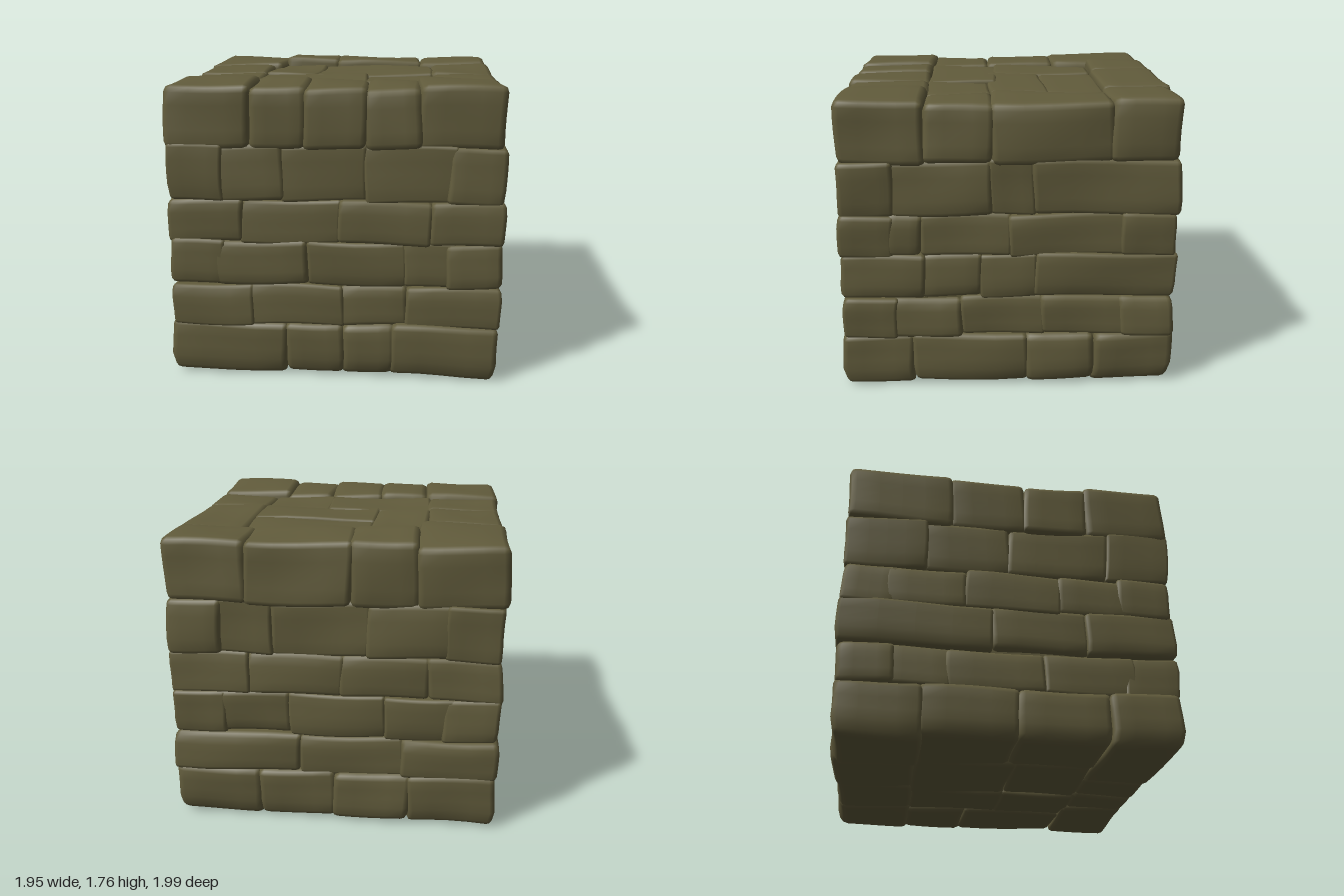
import * as THREE from 'three';
import { mergeVertices } from 'three/addons/utils/BufferGeometryUtils.js';

const stone = new THREE.MeshStandardMaterial({ color: 0x625c3c });
stone.name = 'mossy stone';

const X = 0.966, Z = 0.982; // half extents of the block
const DEPTH = 0.3;          // depth of the wall stones

function seeded(seed) {
  let s = seed;
  return () => {
    s = (s * 16807) % 2147483647;
    return s / 2147483647;
  };
}

// Sideways wear by height: two worn joints and a drawn-in foot
function wear(y) {
  const joint = (at, width) => Math.exp(-(((y - at) / width) ** 2));
  return 1 - 0.014 * joint(0.562, 0.03) - 0.008 * joint(1.065, 0.03)
    - 0.3 * Math.max(0, 0.1 - y);
}

// A worn stone: softened box edges, slightly uneven and tilted faces
function stoneGeometry(min, max, radius, rand) {
  const n = 6;
  const g = new THREE.BoxGeometry(2, 2, 2, n, n, n);
  g.deleteAttribute('normal');
  g.deleteAttribute('uv');
  const geo = mergeVertices(g);
  const half = max.clone().sub(min).multiplyScalar(0.5);
  const mid = max.clone().add(min).multiplyScalar(0.5);
  const inner = half.clone().subScalar(radius);
  const innerMin = inner.clone().negate();
  const phase = rand() * 6.28;
  const p = geo.attributes.position;
  const v = new THREE.Vector3(), core = new THREE.Vector3();
  for (let i = 0; i < p.count; i++) {
    v.fromBufferAttribute(p, i);
    for (const a of ['x', 'y', 'z']) {
      const c = v[a];
      v[a] = Math.abs(c) > 0.99 ? Math.sign(c) * half[a] : c * 1.5 * inner[a];
    }
    core.copy(v).clamp(innerMin, inner);
    v.sub(core).normalize().multiplyScalar(radius).add(core).add(mid);
    const { x, y, z } = v;
    const w = wear(y);
    v.x = x * w + 0.009 * Math.sin(8 * y + 5 * z + phase);
    v.y += 0.009 * Math.sin(6 * x - 5 * z + phase * 2);
    v.z = z * w + 0.009 * Math.sin(5 * x + 8 * y + phase * 3);
    p.setXYZ(i, v.x, v.y, v.z);
  }
  geo.computeVertexNormals();
  return geo;
}

export function createModel() {
  const model = new THREE.Group();
  model.name = 'stoneBlock';
  const rand = seeded(4711);

  function addStone(parent, name, x0, x1, y0, y1, z0, z1, radius) {
    const o = 0.009; // neighbours overlap so the joints stay shallow
    const geo = stoneGeometry(
      new THREE.Vector3(x0 - o, y0, z0 - o),
      new THREE.Vector3(x1 + o, y1, z1 + o),
      radius, rand);
    const mesh = new THREE.Mesh(geo, stone);
    mesh.name = name;
    parent.add(mesh);
  }

  // Inner core behind the joints
  const core = new THREE.Mesh(new THREE.BoxGeometry(1.8, 1.56, 1.82), stone);
  core.name = 'core';
  core.position.y = 0.86;
  model.add(core);

  // Slab layers: x0, x1, z0, z1, extra height; inner slabs lie lower
  const topSlabs = [
    [-X, -0.47, -Z, -0.35, 0], [-0.47, -0.1, -Z, -0.58, 0.024],
    [-0.1, 0.49, -Z, -0.58, 0.008], [0.49, X, -Z, -0.58, 0.004],
    [-X, -0.51, -0.35, 0.1, -0.012], [-X, -0.51, 0.1, 0.48, -0.022],
    [-0.51, -0.18, -0.58, 0.06, -0.024], [-0.18, 0.56, -0.58, -0.23, -0.03],
    [-0.18, 0.56, -0.23, 0.1, -0.022], [-0.51, 0.15, 0.06, 0.48, -0.026],
    [0.15, 0.56, 0.1, 0.48, -0.03], [0.56, X, -0.58, 0.1, -0.012],
    [0.56, X, 0.1, 0.48, -0.025], [-X, -0.48, 0.48, Z, 0],
    [-0.48, -0.17, 0.48, Z, -0.006], [-0.17, 0.17, 0.48, Z, -0.016],
    [0.17, 0.48, 0.48, Z, -0.02], [0.48, X, 0.48, Z, 0.003],
  ];
  const bottomSlabs = [
    [-X, -0.29, 0.57, Z, 0], [-0.29, 0.04, 0.57, Z, -0.012],
    [0.04, 0.34, 0.57, Z, -0.005], [0.34, X, 0.57, Z, 0],
    [-X, -0.5, 0.05, 0.57, -0.012], [-0.5, 0.1, 0.1, 0.57, -0.026],
    [0.1, 0.52, 0.1, 0.57, -0.02], [0.52, X, -0.1, 0.57, -0.012],
    [-X, -0.5, -0.5, 0.05, -0.016], [-0.5, 0.1, -0.5, 0.1, -0.02],
    [0.1, 0.52, -0.5, 0.1, -0.026], [0.52, X, -0.5, -0.1, -0.01],
    [-X, -0.45, -Z, -0.5, 0], [-0.45, 0, -Z, -0.5, -0.012],
    [0, 0.45, -Z, -0.5, -0.006], [0.45, X, -Z, -0.5, 0],
  ];
  const top = new THREE.Group();
  top.name = 'topStones';
  const bottom = new THREE.Group();
  bottom.name = 'bottomStones';
  model.add(top, bottom);
  // Only the outer sides of a slab are shifted inwards
  const jut = (v, limit) =>
    Math.abs(v) === limit ? v - Math.sign(v) * (0.004 + rand() * 0.022) : v;
  // Slabs along the rim are rounder than those inside
  const rounding = (x0, x1, z0, z1) => rand() * 0.012 +
    (x0 === -X || x1 === X || z0 === -Z || z1 === Z ? 0.032 : 0.02);
  for (const [x0, x1, z0, z1, h] of topSlabs)
    addStone(top, 'topStone', jut(x0, X), jut(x1, X), 1.365, 1.728 + h,
      jut(z0, Z), jut(z1, Z), rounding(x0, x1, z0, z1));
  for (const [x0, x1, z0, z1, h] of bottomSlabs)
    addStone(bottom, 'bottomStone', jut(x0, X), jut(x1, X), 0.012 - h, 0.335,
      jut(z0, Z), jut(z1, Z), rounding(x0, x1, z0, z1));

  // Wall courses: front and back joints along x, right and left joints along z
  const courses = [
    { y: [0.315, 0.562], inset: 0.014, long: true,
      front: [-0.49, 0.04, 0.42], back: [-0.4, 0.2], right: [0.28, -0.2], left: [0.2, -0.35] },
    { y: [0.562, 0.832], inset: 0.012, long: false,
      front: [-0.16, 0.4], back: [-0.3, 0.25], right: [0.5, 0.16, -0.16], left: [0.45, -0.1] },
    { y: [0.815, 1.07], inset: 0.012, long: true,
      front: [-0.53, 0.03, 0.55], back: [-0.55, -0.05, 0.5], right: [0.51, 0], left: [0.3, -0.25] },
    { y: [1.06, 1.39], inset: 0.014, long: false,
      front: [-0.3, 0.18], back: [-0.2, 0.35], right: [0.67, 0.1, -0.14], left: [0.6, 0, -0.5] },
  ];
  courses.forEach(({ y, inset, long, front, back, right, left }, k) => {
    const course = new THREE.Group();
    course.name = `wallCourse${k + 1}`;
    model.add(course);
    const spans = (cuts, end) => {
      const s = [-end, ...cuts, end].sort((a, b) => a - b);
      return s.slice(1).map((b, i) => [s[i], b]);
    };
    // Corner stones alternate between the walls and stand out a little
    const xEnd = long ? X - inset : X - 0.27;
    const zEnd = long ? Z - 0.27 : Z - inset;
    const recess = (a, b, end, corners) => inset + rand() * 0.014 +
      (corners && (a === -end || b === end) ? 0 : 0.012);
    const radius = () => 0.02 + rand() * 0.014;
    for (const [cuts, side] of [[front, 1], [back, -1]])
      for (const [a, b] of spans(cuts, xEnd)) {
        const out = side * (Z - recess(a, b, xEnd, long)), inn = out - side * DEPTH;
        addStone(course, 'wallStone', a, b, y[0], y[1],
          Math.min(out, inn), Math.max(out, inn), radius());
      }
    for (const [cuts, side] of [[right, 1], [left, -1]])
      for (const [a, b] of spans(cuts, zEnd)) {
        const out = side * (X - recess(a, b, zEnd, !long)), inn = out - side * DEPTH;
        addStone(course, 'wallStone', Math.min(out, inn), Math.max(out, inn),
          y[0], y[1], a, b, radius());
      }
  });

  return model;
}
